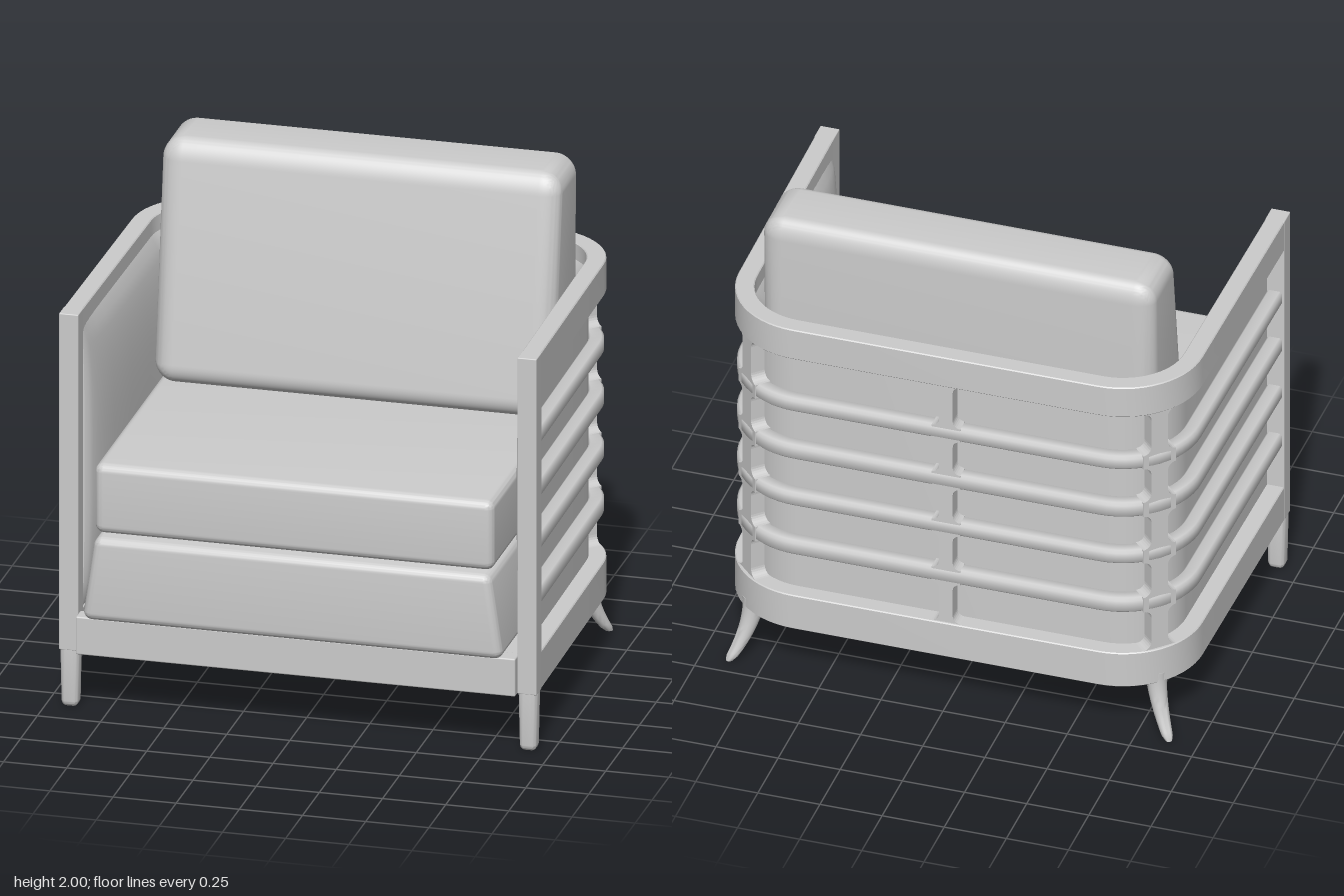
import * as THREE from 'three';
import { toCreasedNormals } from 'three/addons/utils/BufferGeometryUtils.js';
import { RoundedBoxGeometry } from 'three/addons/geometries/RoundedBoxGeometry.js';

const material = new THREE.MeshStandardMaterial({ color: 0xcccccc });
const CORNER = { x: 0.613, z: -0.405, r: 0.32 }; // rounded back corner of the frame

function add(parent, name, geometry) {
  const mesh = new THREE.Mesh(geometry, material);
  mesh.name = name;
  parent.add(mesh);
  return mesh;
}

// Move every vertex by a rule, then rebuild normals
function reshape(geometry, rule, crease = 0.6) {
  const p = geometry.attributes.position;
  const v = new THREE.Vector3();
  for (let i = 0; i < p.count; i++) {
    v.fromBufferAttribute(p, i);
    rule(v);
    p.setXYZ(i, v.x, v.y, v.z);
  }
  return toCreasedNormals(geometry, crease);
}

// U-shaped plan line: left side, round the back, right side; with outward normals
function framePath(zFront) {
  const half = [];
  const sideSteps = [0, 0.015, 0.04, 0.08, 0.14, 0.25, 0.5, 0.75];
  for (const t of sideSteps) {
    const z = THREE.MathUtils.lerp(zFront, CORNER.z, t);
    const x = CORNER.x + CORNER.r + 0.012 * (z - CORNER.z) / (0.63 - CORNER.z);
    half.push({ x, z, nx: 1, nz: 0 });
  }
  for (let i = 0; i <= 14; i++) {
    const a = (i / 14) * Math.PI / 2;
    const nx = Math.cos(a), nz = -Math.sin(a);
    half.push({ x: CORNER.x + CORNER.r * nx, z: CORNER.z + CORNER.r * nz, nx, nz });
  }
  return half.concat(half.slice().reverse().map(p => ({ x: -p.x, z: p.z, nx: -p.nx, nz: p.nz })));
}

// Sweep a convex profile of [inset, y] points along the U
function sweepFrame(profile, zFront, crease = 0.6, inset = d => d) {
  const path = framePath(zFront);
  const n = profile.length, positions = [], index = [];
  for (const p of path) {
    for (const [d, y] of profile) {
      const k = inset(d, p);
      positions.push(p.x - p.nx * k, y, p.z - p.nz * k);
    }
  }
  for (let i = 0; i < path.length - 1; i++) {
    for (let j = 0; j < n; j++) {
      const a = i * n + j, b = i * n + (j + 1) % n;
      index.push(a, b, b + n, a, b + n, a + n);
    }
  }
  const end = (path.length - 1) * n;
  for (let j = 1; j < n - 1; j++) {
    index.push(0, j + 1, j, end, end + j, end + j + 1);
  }
  const geometry = new THREE.BufferGeometry();
  geometry.setAttribute('position', new THREE.Float32BufferAttribute(positions, 3));
  geometry.setIndex(index);
  return toCreasedNormals(geometry, crease);
}

// Bar cross-section with small chamfers
const bar = (d0, d1, y0, y1, c) => [
  [d0 + c, y0], [d1 - c, y0], [d1, y0 + c], [d1, y1 - c],
  [d1 - c, y1], [d0 + c, y1], [d0, y1 - c], [d0, y0 + c],
];

const OPENINGS = [[0.39, 0.57], [0.635, 0.795], [0.855, 1.01], [1.075, 1.23], [1.29, 1.48]];

// Upright that flares into the slats with small fillets
function postGeometry(width, depth, r) {
  const side = [];
  for (const [y0, y1] of OPENINGS) {
    for (let i = 0; i <= 6; i++) {
      const a = (i / 6) * Math.PI / 2;
      side.push([width / 2 + r * (1 - Math.sin(a)), y0 + r * (1 - Math.cos(a))]);
    }
    for (let i = 6; i >= 0; i--) {
      const a = (i / 6) * Math.PI / 2;
      side.push([width / 2 + r * (1 - Math.sin(a)), y1 - r * (1 - Math.cos(a))]);
    }
  }
  const outline = side.concat(side.slice().reverse().map(([x, y]) => [-x, y]));
  const shape = new THREE.Shape(outline.map(([x, y]) => new THREE.Vector2(x, y)));
  return new THREE.ExtrudeGeometry(shape, { depth, bevelEnabled: false });
}

// Curved tapering back leg, built pointing along +z
function backLegGeometry() {
  return reshape(new THREE.CylinderGeometry(1, 1, 1, 20, 16), v => {
    const t = v.y + 0.5;
    const taper = 0.018 + 0.025 * Math.pow(t, 0.7);
    const tip = t < 0.01 ? 0.75 : 1;
    v.x *= taper * tip;
    v.z = v.z * (taper + 0.002) * tip + 0.105 * Math.pow(1 - t, 2);
    v.y = 0.005 + t * 0.27;
  }, 0.7);
}

export function createModel() {
  const model = new THREE.Group();
  model.name = 'armchair';

  // Wooden frame
  const frame = new THREE.Group();
  frame.name = 'frame';
  model.add(frame);
  add(frame, 'topRail', sweepFrame(bar(0, 0.075, 1.48, 1.615, 0.004), 0.63));
  add(frame, 'bottomRail', sweepFrame(bar(0, 0.075, 0.235, 0.39, 0.004), 0.63));
  for (let i = 0; i < OPENINGS.length - 1; i++) {
    add(frame, 'slat', sweepFrame(bar(0.008, 0.07, OPENINGS[i][1], OPENINGS[i + 1][0], 0.01), 0.6, 0.9));
  }
  add(frame, 'frontRail', new RoundedBoxGeometry(1.74, 0.155, 0.07, 2, 0.006)).position.set(0, 0.3125, 0.635);

  // Uprights at the middle of the back and in the two back corners
  const middlePost = add(frame, 'middlePost', postGeometry(0.055, 0.062, 0.03));
  middlePost.rotation.y = Math.PI;
  middlePost.position.z = -0.653;
  for (const s of [1, -1]) {
    const corner = new THREE.Group();
    corner.name = s > 0 ? 'leftBackCorner' : 'rightBackCorner';
    corner.position.set(s * CORNER.x, 0, CORNER.z);
    corner.rotation.y = s * Math.PI * 0.75;
    frame.add(corner);
    add(corner, 'cornerPost', postGeometry(0.07, 0.065, 0.035)).position.z = CORNER.r - 0.077;
    add(corner, 'backLeg', backLegGeometry()).position.z = CORNER.r - 0.043;

    // Front post with a softened, tapering foot
    add(frame, 'frontPost', new RoundedBoxGeometry(0.077, 1.38, 0.077, 2, 0.004))
      .position.set(s * 0.907, 0.925, 0.597);
    const foot = reshape(new RoundedBoxGeometry(0.077, 0.3, 0.077, 4, 0.024), v => {
      const k = 0.86 + 0.14 * Math.min(1, (v.y + 0.15) / 0.235);
      v.x *= k;
      v.z *= k;
    });
    add(frame, 'frontFoot', foot).position.set(s * 0.907, 0.15, 0.597);
  }

  // Floor panel under the seat
  const floorShape = new THREE.Shape(framePath(0.61).map(p =>
    new THREE.Vector2(p.x - p.nx * 0.04, -(p.z - p.nz * 0.04))));
  const floor = new THREE.ExtrudeGeometry(floorShape, { depth: 0.1, bevelEnabled: false });
  floor.rotateX(-Math.PI / 2);
  add(model, 'floorPanel', floor).position.y = 0.255;

  // Upholstered lining: flat outside, softly bulging inside
  const lining = [[0.068, 0.385]];
  for (let i = 0; i <= 24; i++) {
    const t = i / 24;
    const bulge = Math.pow(1 - Math.pow(Math.abs(2 * t - 1), 3), 0.6);
    lining.push([0.07 + 0.068 * bulge, 0.385 + t * 1.17]);
  }
  lining.push([0.068, 1.555]);
  add(model, 'lining', sweepFrame(lining, 0.565, 0.7, (d, p) => {
    const t = THREE.MathUtils.clamp((0.565 - p.z) / 0.4, 0, 1);
    return 0.068 + (d - 0.068) * (0.2 + 0.8 * Math.sqrt(1 - (1 - t) ** 2));
  }));

  // Seat base, narrowing towards the top
  const base = reshape(new RoundedBoxGeometry(1.66, 0.345, 1.27, 5, 0.035), v => {
    v.x *= 1 - 0.055 * THREE.MathUtils.clamp((v.y + 0.13) / 0.3, 0, 1);
  });
  add(model, 'seatBase', base).position.set(0, 0.57, 0.09);

  // Seat cushion
  const seat = toCreasedNormals(new RoundedBoxGeometry(1.58, 0.285, 1.25, 5, 0.035), 0.6);
  add(model, 'seatCushion', seat).position.set(0, 0.892, 0.075);

  // Back cushion, upright behind and sloping in front
  const back = reshape(new RoundedBoxGeometry(1.58, 0.955, 0.455, 7, 0.085), v => {
    const t = v.y / 0.955 + 0.5;
    v.z = (v.z + 0.2275) * (1 - 0.36 * t) - 0.585;
    v.y += 1.5225;
  });
  add(model, 'backCushion', back);

  return model;
}
